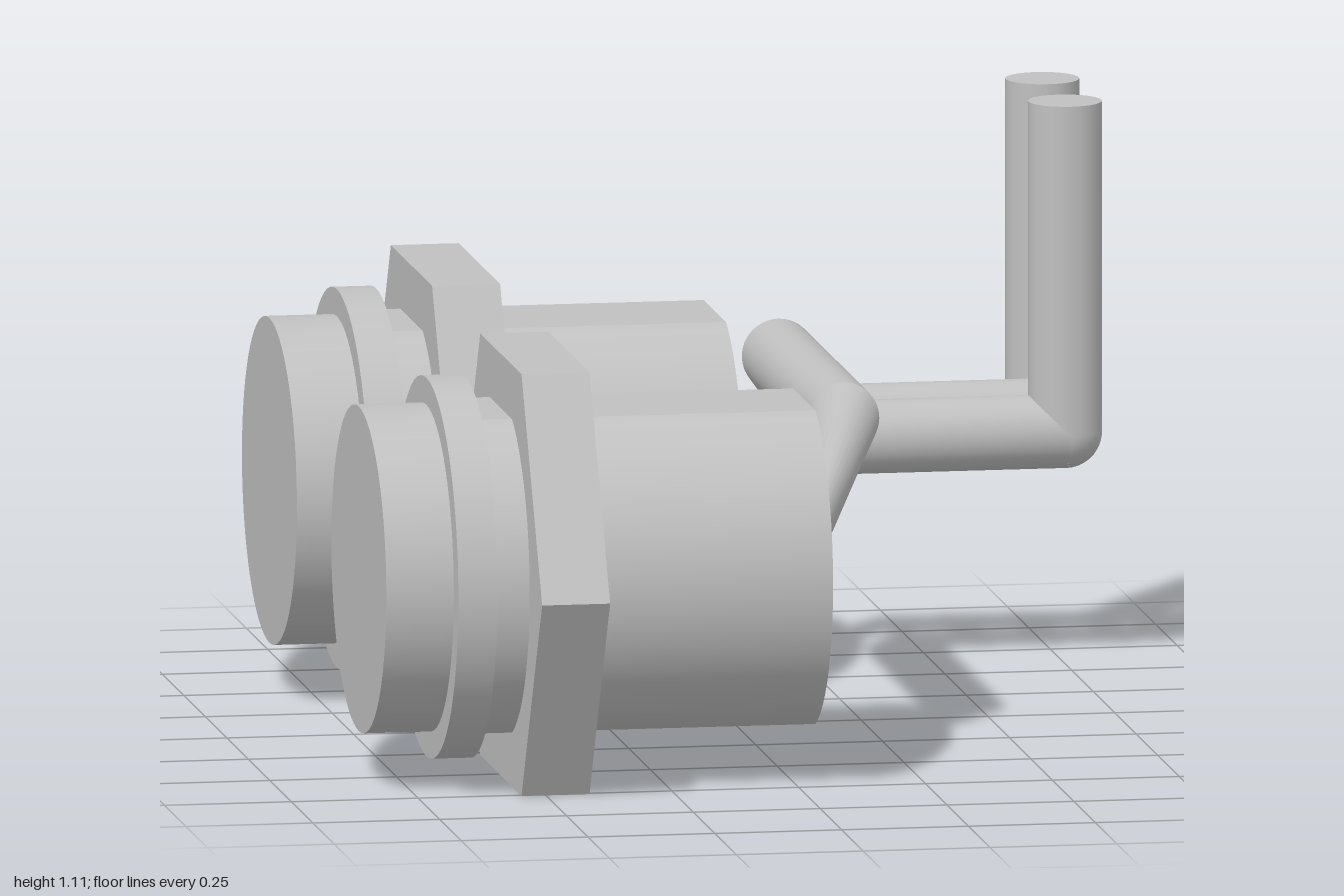
import * as THREE from 'three';
import { toCreasedNormals } from 'three/addons/utils/BufferGeometryUtils.js';

const R = 0.072; // pipe radius
const SIDES = 32;
const AXLE_Y = 0.416;
const PIPE_Y = 0.457;

export function createModel() {
  const model = new THREE.Group();
  model.name = 'pipeFittings';
  const steel = new THREE.MeshStandardMaterial({ color: 0xc0c0c0 });
  steel.name = 'steelGrey';

  const add = (parent, name, geometry) => {
    const mesh = new THREE.Mesh(geometry, steel);
    mesh.name = name;
    parent.add(mesh);
    return mesh;
  };

  // Disc stack pieces lying along x
  const drum = (radius, x0, x1) =>
    new THREE.CylinderGeometry(radius, radius, x1 - x0, 64)
      .rotateZ(-Math.PI / 2).translate((x0 + x1) / 2, 0, 0);

  const prism = (shape, x0, x1) =>
    toCreasedNormals(
      new THREE.ExtrudeGeometry(shape, { depth: x1 - x0, bevelEnabled: false, curveSegments: 28 })
        .rotateY(Math.PI / 2).translate(x0, 0, 0), 0.4);

  // Round body with a flat on top and bottom
  const flatAngle = Math.asin(0.309 / 0.335);
  const bodyShape = new THREE.Shape();
  bodyShape.absarc(0, 0, 0.335, -flatAngle, flatAngle);
  bodyShape.absarc(0, 0, 0.335, Math.PI - flatAngle, Math.PI + flatAngle);
  bodyShape.closePath();

  // Hexagon with corners pointing along z
  const hexShape = new THREE.Shape(Array.from({ length: 6 }, (_, i) =>
    new THREE.Vector2(0.48 * Math.cos(i * Math.PI / 3), 0.48 * Math.sin(i * Math.PI / 3))));

  for (const [name, z] of [['frontFitting', 0.52], ['rearFitting', -0.52]]) {
    const fitting = new THREE.Group();
    fitting.name = name;
    fitting.position.set(0, AXLE_Y, z);
    add(fitting, 'endCap', drum(0.32, -0.828, -0.695));
    add(fitting, 'flange', drum(0.373, -0.695, -0.618));
    add(fitting, 'body', prism(bodyShape, -0.618, 0.05));
    add(fitting, 'hexNut', prism(hexShape, -0.548, -0.414));
    model.add(fitting);
  }

  // Pipe length joining two circles, each facing along 'x' or 'z'
  const pipeLength = (from, to) => {
    const positions = [], index = [];
    for (const [x, y, z, facing] of [from, to]) {
      for (let i = 0; i < SIDES; i++) {
        const t = i / SIDES * Math.PI * 2;
        const side = R * Math.cos(t);
        positions.push(
          x + (facing === 'z' ? side : 0),
          y + R * Math.sin(t),
          z + (facing === 'x' ? side : 0));
      }
    }
    for (let i = 0; i < SIDES; i++) {
      const j = (i + 1) % SIDES;
      index.push(i, j + SIDES, j, i, i + SIDES, j + SIDES);
    }
    const g = new THREE.BufferGeometry();
    g.setAttribute('position', new THREE.Float32BufferAttribute(positions, 3));
    g.setIndex(index);
    g.computeVertexNormals();
    return g;
  };

  const pipe = (name, rings, riserZ) => {
    const group = new THREE.Group();
    group.name = name;
    for (let i = 1; i < rings.length; i++) {
      add(group, 'pipeLength' + i, pipeLength(rings[i - 1], rings[i]));
    }
    const [x, y, z] = rings[rings.length - 1];
    add(group, 'pipeEnd', new THREE.CircleGeometry(R, SIDES).rotateY(Math.PI / 2).translate(x, y, z));
    const height = 1.108 - PIPE_Y;
    add(group, 'riser', new THREE.CylinderGeometry(R, R, height, SIDES)
      .translate(0.752, PIPE_Y + height / 2, riserZ));
    model.add(group);
    return group;
  };

  const frontPipe = pipe('frontPipe', [
    [0.05, AXLE_Y, 0.52, 'x'],
    [0.153, 0.657, 0.36, 'z'],
    [0.153, 0.657, -0.39, 'z'],
    [0.255, PIPE_Y, -0.59, 'x'],
    [0.752, PIPE_Y, -0.59, 'x'],
  ], -0.59);

  const rearPipe = pipe('rearPipe', [
    [0.05, AXLE_Y, -0.52, 'x'],
    [0.25, PIPE_Y, -0.777, 'x'],
    [0.752, PIPE_Y, -0.777, 'x'],
  ], -0.855);

  // Rounded elbow under the front riser
  add(frontPipe, 'elbow', new THREE.SphereGeometry(R, 20, 12, Math.PI / 2, Math.PI, Math.PI / 2, Math.PI / 2)
    .translate(0.752, PIPE_Y, -0.59));

  // Quarter-round elbow under the rear riser
  const quarter = new THREE.Shape();
  quarter.moveTo(0, 0);
  quarter.absarc(0, 0, R, -Math.PI / 2, 0);
  quarter.closePath();
  add(rearPipe, 'elbow', toCreasedNormals(
    new THREE.ExtrudeGeometry(quarter, { depth: 0.075, bevelEnabled: false, curveSegments: 10 })
      .translate(0.752, PIPE_Y, -0.853), 0.4));

  return model;
}
